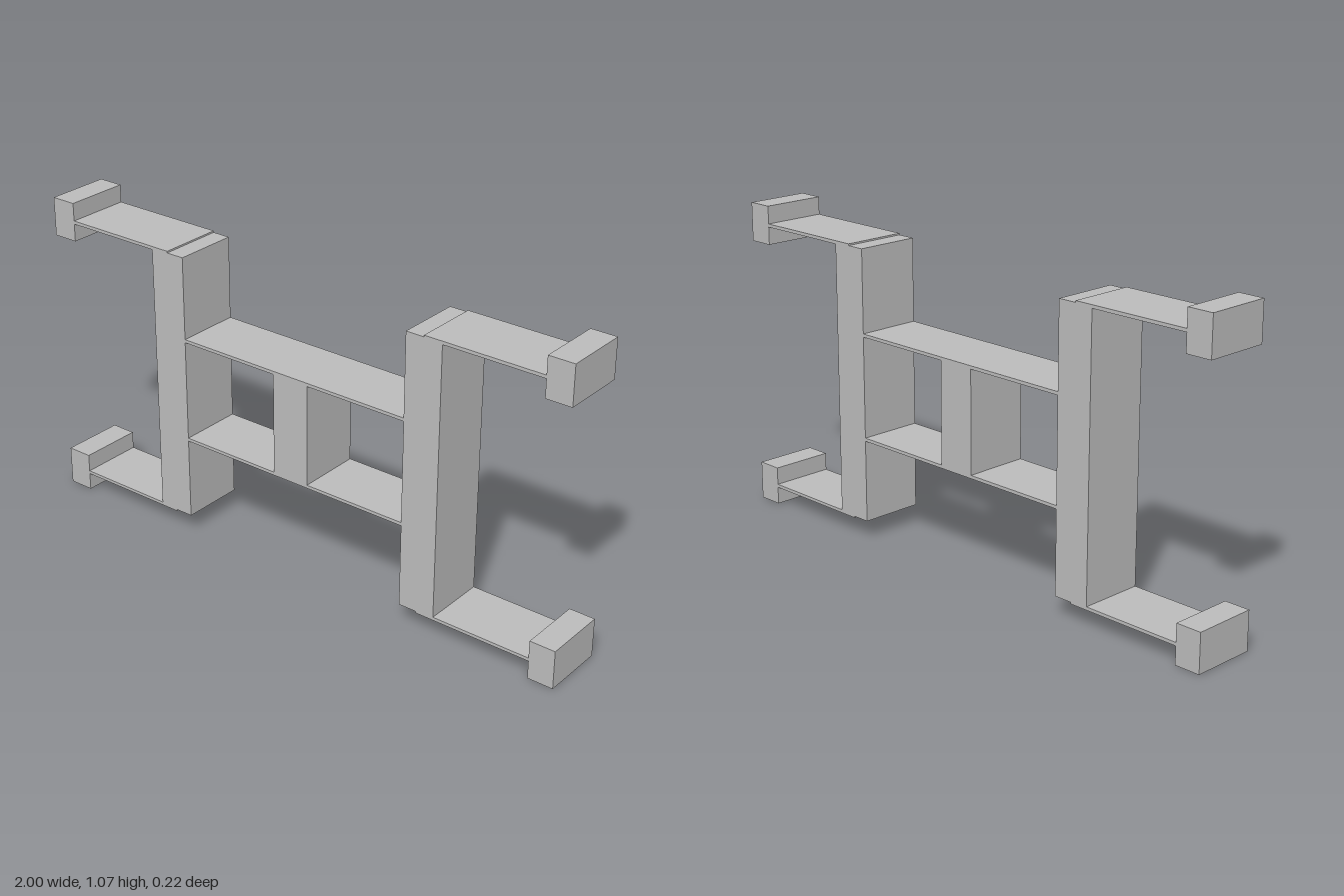
import * as THREE from 'three';

export function createModel() {
  const model = new THREE.Group();
  model.name = 'frame';
  const grey = new THREE.MeshStandardMaterial({ color: 0xbcbcbc });
  grey.name = 'grey';
  const depth = 0.222;

  // Box given by its extents in x and y, full depth in z
  function block(name, x0, x1, y0, y1) {
    const mesh = new THREE.Mesh(new THREE.BoxGeometry(x1 - x0, y1 - y0, depth), grey);
    mesh.position.set((x0 + x1) / 2, (y0 + y1) / 2, 0);
    mesh.name = name;
    return mesh;
  }

  const low = 0.0665, high = 1.0025, half = 0.0055;

  // Centre post and the two thin rails joining the sides
  model.add(block('centrePost', -0.067, 0.067, 0.356, 0.714));
  for (const [name, y] of [['lowerRail', 0.356], ['upperRail', 0.714]]) {
    model.add(block(name, -0.498, 0.498, y - half, y + half));
  }

  // Each side: tall post, two thin arms and their end pads
  for (const [sideName, s] of [['left', 1], ['right', -1]]) {
    const side = new THREE.Group();
    side.name = sideName + 'Side';
    const add = (name, a, b, y0, y1) =>
      side.add(block(name, Math.min(s * a, s * b), Math.max(s * a, s * b), y0, y1));
    add('post', 0.434, 0.563, low, high);
    for (const [level, y] of [['lower', low], ['upper', high]]) {
      add(level + 'Arm', 0.498, 0.955, y - half, y + half);
      add(level + 'Pad', 0.911, 1, y - 0.0665, y + 0.0665);
    }
    model.add(side);
  }
  return model;
}
